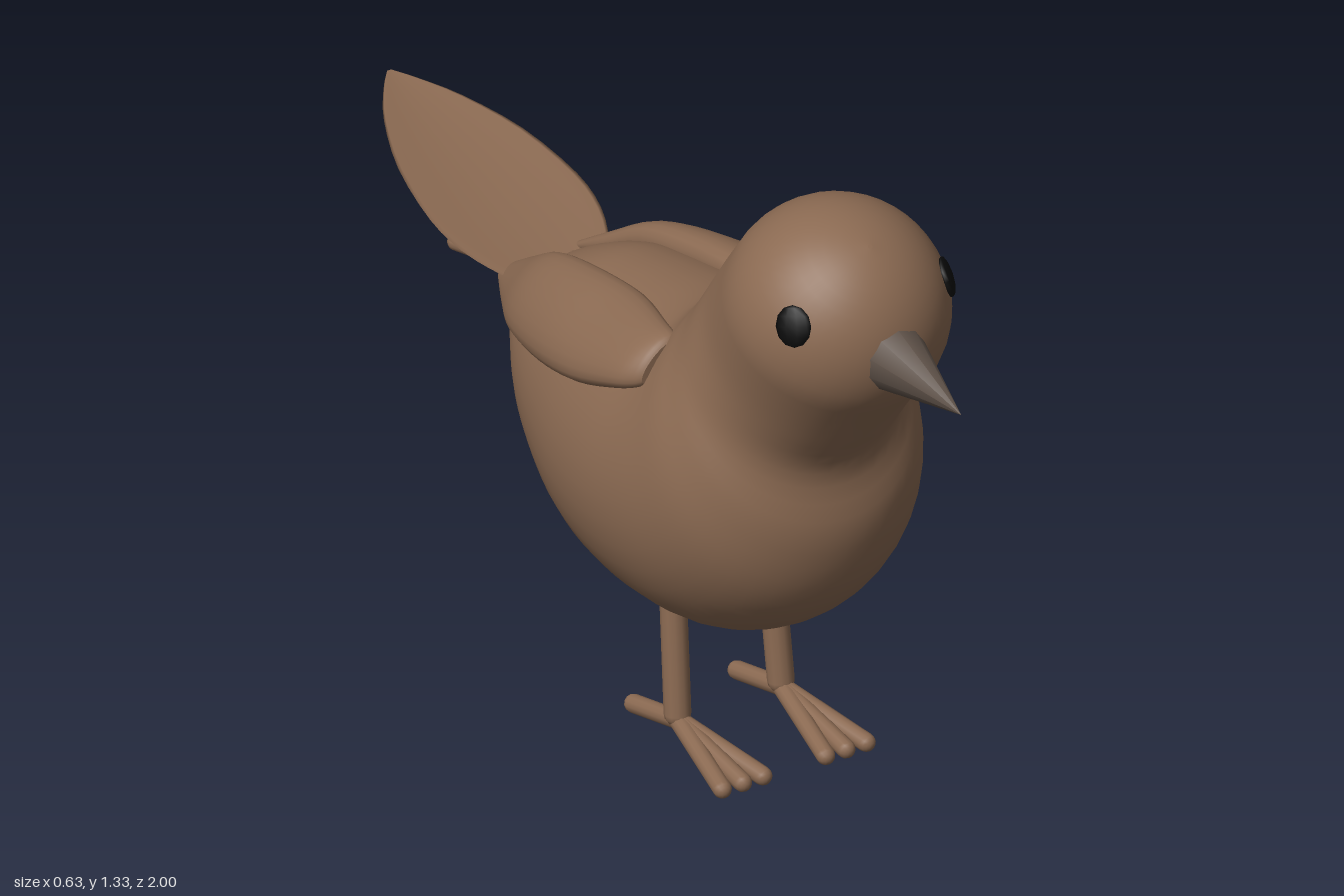
import * as THREE from 'three';

// Smoothly resample rows of numbers (Catmull-Rom), "steps" per interval
function spline(rows, steps) {
  const out = [];
  const at = i => rows[Math.max(0, Math.min(rows.length - 1, i))];
  const blend = (a, b, c, d, t) => {
    const cubic = 3 * (b - c) + d - a;
    const square = 2 * a - 5 * b + 4 * c - d;
    return b + 0.5 * t * (c - a + t * (square + t * cubic));
  };
  for (let i = 0; i < rows.length - 1; i++) {
    for (let s = 0; s < steps; s++) {
      const [a, b, c, d] = [at(i - 1), at(i), at(i + 1), at(i + 2)];
      out.push(b.map((v, k) => blend(a[k], v, c[k], d[k], s / steps)));
    }
  }
  out.push(rows[rows.length - 1]);
  return out;
}

// Skin closed rings that run towards +z; both ends get a flat cap
function loft(rows, sides, pointAt, side = 1) {
  const pos = [], idx = [];
  const rings = rows.map(row => Array.from({ length: sides }, (_, j) => {
    const p = pointAt(row, j / sides * Math.PI * 2);
    return [p[0] * side, p[1], p[2]];
  }));
  const tri = (a, b, c) => (side > 0 ? idx.push(a, b, c) : idx.push(a, c, b));
  rings.forEach(r => r.forEach(p => pos.push(...p)));
  for (let i = 0; i < rings.length - 1; i++) {
    for (let j = 0; j < sides; j++) {
      const k = (j + 1) % sides, a = i * sides, b = a + sides;
      tri(a + j, b + j, a + k);
      tri(a + k, b + j, b + k);
    }
  }
  [rings[0], rings[rings.length - 1]].forEach((r, end) => {
    const base = pos.length / 3;
    r.forEach(p => pos.push(...p));
    pos.push(...[0, 1, 2].map(c => r.reduce((sum, p) => sum + p[c], 0) / sides));
    for (let j = 0; j < sides; j++) {
      const k = (j + 1) % sides;
      if (end) tri(base + j, base + sides, base + k);
      else tri(base + j, base + k, base + sides);
    }
  });
  const g = new THREE.BufferGeometry();
  g.setAttribute('position', new THREE.Float32BufferAttribute(pos, 3));
  g.setIndex(idx);
  g.computeVertexNormals();
  return g;
}

export function createModel() {
  const bird = new THREE.Group();
  bird.name = 'bird';
  const material = (name, color) => {
    const m = new THREE.MeshStandardMaterial({ color });
    m.name = name;
    return m;
  };
  const brown = material('brown plumage', 0x8b6a52);
  const grey = material('dark beak', 0x5e5148);
  const black = material('black eye', 0x0a0a0a);

  const add = (name, geometry, mat, parent = bird) => {
    const m = new THREE.Mesh(geometry, mat);
    m.name = name;
    parent.add(m);
    return m;
  };
  // Round-ended rod between two points
  const rod = (name, a, b, r, parent) => {
    const p = new THREE.Vector3(...a), q = new THREE.Vector3(...b), d = q.clone().sub(p);
    const m = add(name, new THREE.CapsuleGeometry(r, d.length(), 4, 12), brown, parent);
    m.position.copy(p).add(q).multiplyScalar(0.5);
    m.quaternion.setFromUnitVectors(new THREE.Vector3(0, 1, 0), d.normalize());
  };

  // Body: slices from rump to neck as back z, back y, belly z, belly y, half width
  const slices = spline([
    [-0.457, 0.70, -0.457, 0.685, 0.01],
    [-0.445, 0.74, -0.445, 0.64, 0.06],
    [-0.39, 0.78, -0.40, 0.59, 0.12],
    [-0.30, 0.84, -0.33, 0.53, 0.175],
    [-0.20, 0.885, -0.28, 0.44, 0.215],
    [-0.10, 0.905, -0.19, 0.36, 0.25],
    [0.00, 0.92, -0.05, 0.297, 0.285],
    [0.10, 0.938, 0.12, 0.274, 0.308],
    [0.165, 0.96, 0.31, 0.292, 0.314],
    [0.20, 0.985, 0.46, 0.365, 0.308],
    [0.225, 1.015, 0.56, 0.475, 0.293],
    [0.245, 1.045, 0.603, 0.62, 0.262],
    [0.27, 1.085, 0.592, 0.76, 0.232],
    [0.305, 1.145, 0.655, 0.86, 0.217],
    [0.369, 1.226, 0.751, 0.984, 0.226],
  ], 4);
  // The head closes the body with a half sphere
  const head = [0, 1.105, 0.56], R = 0.226;
  for (let i = 1; i <= 12; i++) {
    const a = i / 12 * 1.55, c = R * Math.cos(a), s = R * Math.sin(a);
    const z = head[2] + 0.534 * s, y = head[1] + 0.846 * s;
    slices.push([z - 0.846 * c, y + 0.534 * c, z + 0.846 * c, y - 0.534 * c, c]);
  }
  add('bodyAndHead', loft(slices, 40, ([dz, dy, vz, vy, w], a) => {
    const c = Math.cos(a);
    return [w * Math.sin(a), (dy + vy + c * (dy - vy)) / 2, (dz + vz + c * (dz - vz)) / 2];
  }), brown);

  // Wings: z, inner x, inner y, outer x, outer y, bulge
  const wingRows = spline([
    [-0.455, 0.06, 0.75, 0.11, 0.735, 0.012],
    [-0.36, 0.07, 0.81, 0.16, 0.73, 0.035],
    [-0.25, 0.09, 0.875, 0.212, 0.737, 0.05],
    [-0.10, 0.098, 0.91, 0.25, 0.757, 0.058],
    [0.05, 0.105, 0.927, 0.272, 0.792, 0.055],
    [0.19, 0.145, 0.943, 0.272, 0.842, 0.04],
    [0.24, 0.16, 0.948, 0.255, 0.86, 0.03],
    [0.255, 0.17, 0.94, 0.245, 0.87, 0.02],
  ], 4);
  for (const side of [1, -1]) {
    add(side > 0 ? 'leftWing' : 'rightWing', loft(wingRows, 24, ([z, xi, yi, xo, yo, b], a) => {
      const hx = (xi - xo) / 2, hy = (yi - yo) / 2, l = Math.hypot(hx, hy);
      const c = Math.cos(a), s = Math.sin(a) * b / l;
      return [(xi + xo) / 2 + c * hx + s * hy, (yi + yo) / 2 + c * hy - s * hx, z];
    }, side), brown);
  }

  // Tail: slightly cupped leaf as z, y, half width, half thickness
  const tailRows = spline([
    [-1.0, 0.903, 0.005, 0.001],
    [-0.96, 0.889, 0.04, 0.002],
    [-0.88, 0.866, 0.092, 0.003],
    [-0.75, 0.832, 0.145, 0.004],
    [-0.60, 0.793, 0.17, 0.006],
    [-0.50, 0.767, 0.16, 0.007],
    [-0.42, 0.747, 0.125, 0.007],
    [-0.38, 0.738, 0.09, 0.005],
  ], 3);
  add('tail', loft(tailRows, 20, ([z, y, w, t], a) => {
    const s = Math.sin(a);
    return [w * s, y + t * Math.cos(a) + 0.1 * w * s * s, z];
  }), brown);

  // Short quills fanning out under the tail
  for (const x of [-0.09, 0, 0.09]) {
    rod('tailQuill', [x * 0.4, 0.742, -0.40], [x, 0.724, -0.63], 0.018, bird);
  }

  // Beak
  const beak = add('beak', new THREE.ConeGeometry(0.074, 0.25, 10), grey);
  beak.position.set(0, 1.081, 0.875);
  beak.rotation.x = Math.PI / 2 + 0.08;

  for (const side of [1, -1]) {
    // Eye: flattened bead lying on the head
    const eye = add(side > 0 ? 'leftEye' : 'rightEye', new THREE.SphereGeometry(1, 10, 6), black);
    const out = new THREE.Vector3(0.18 * side, 0.07, 0.122).normalize();
    eye.position.set(...head).addScaledVector(out, R);
    eye.quaternion.setFromUnitVectors(new THREE.Vector3(0, 0, 1), out);
    eye.scale.set(0.037, 0.042, 0.012);

    // Leg with three front toes and one back toe
    const leg = new THREE.Group();
    leg.name = side > 0 ? 'leftLeg' : 'rightLeg';
    bird.add(leg);
    const ankle = [0.12 * side, 0.056, 0.19];
    rod('shank', [0.112 * side, 0.36, 0.158], [ankle[0], 0.07, 0.188], 0.027, leg);
    for (const dx of [-0.047, 0, 0.047]) {
      rod('frontToe', ankle, [ankle[0] + dx, 0.022, 0.415], 0.019, leg);
    }
    rod('backToe', ankle, [ankle[0], 0.02, 0.035], 0.019, leg);
  }
  return bird;
}
